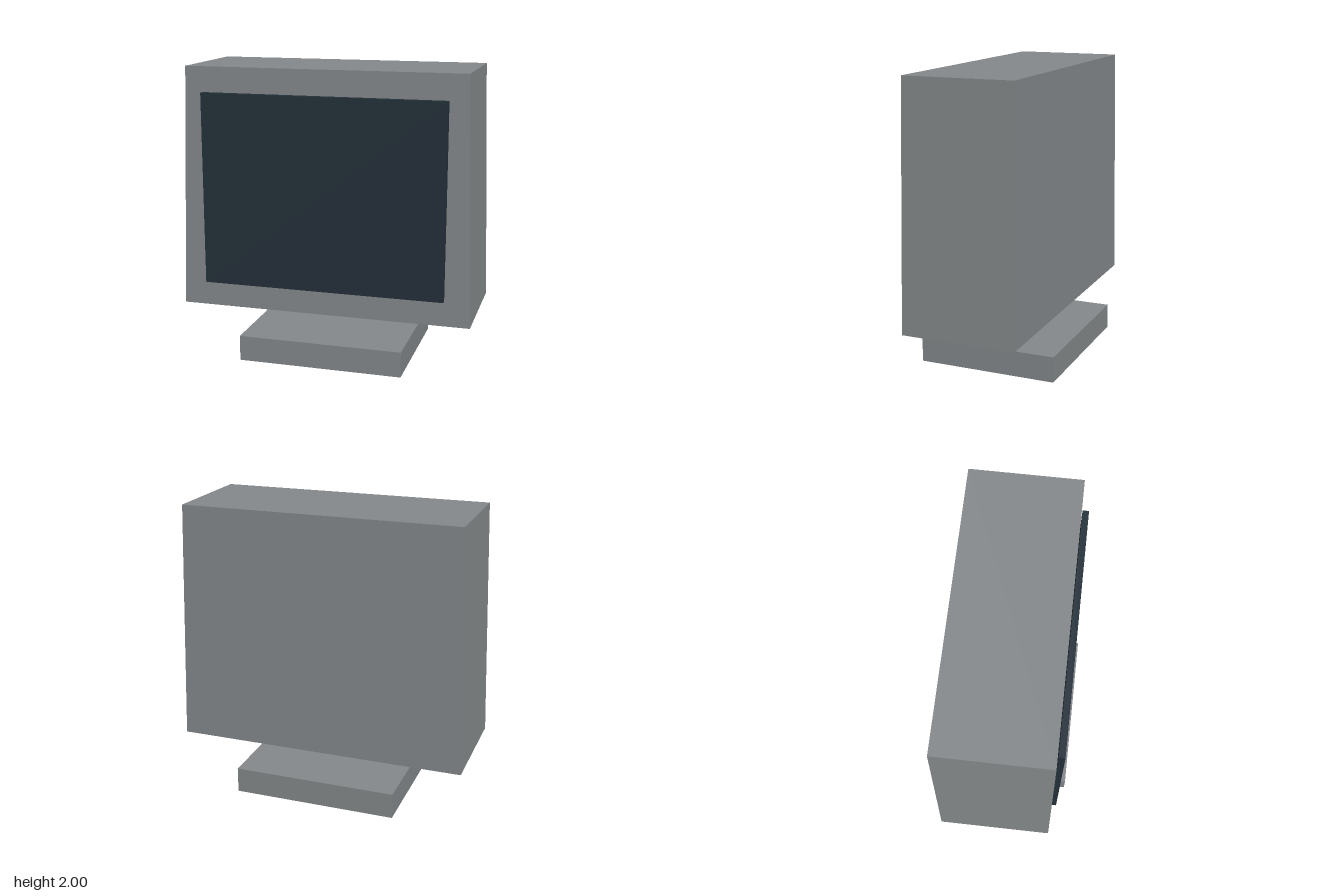
import * as THREE from 'three';

export function createModel() {
  const model = new THREE.Group();
  const casing = new THREE.MeshStandardMaterial({ color: 0x85898b });
  casing.name = 'casingGrey';
  const glass = new THREE.MeshStandardMaterial({ color: 0x24303a });
  glass.name = 'screenDark';

  // Box spanning y0..y1, with its top face scaled in x and z
  function addBox(name, material, width, depth, y0, y1, z = 0, topX = 1, topZ = 1) {
    const geometry = new THREE.BoxGeometry(width, y1 - y0, depth);
    const p = geometry.attributes.position;
    for (let i = 0; i < p.count; i++) {
      if (p.getY(i) > 0) {
        p.setX(i, p.getX(i) * topX);
        p.setZ(i, p.getZ(i) * topZ);
      }
    }
    // Corners are unshared between faces, so the edges stay sharp
    geometry.computeVertexNormals();
    const mesh = new THREE.Mesh(geometry, material);
    mesh.name = name;
    mesh.position.set(0, (y0 + y1) / 2, z);
    model.add(mesh);
  }

  // Base plate, separate from the housing above it
  addBox('base', casing, 1.13, 0.96, 0, 0.175);
  // Housing, tapering slightly towards the top
  addBox('housing', casing, 2, 0.776, 0.352, 2, 0, 0.95, 0.96);
  // Upright screen slab standing proud of the front
  addBox('screen', glass, 1.654, 0.042, 0.523, 1.83, 0.401);

  return model;
}
